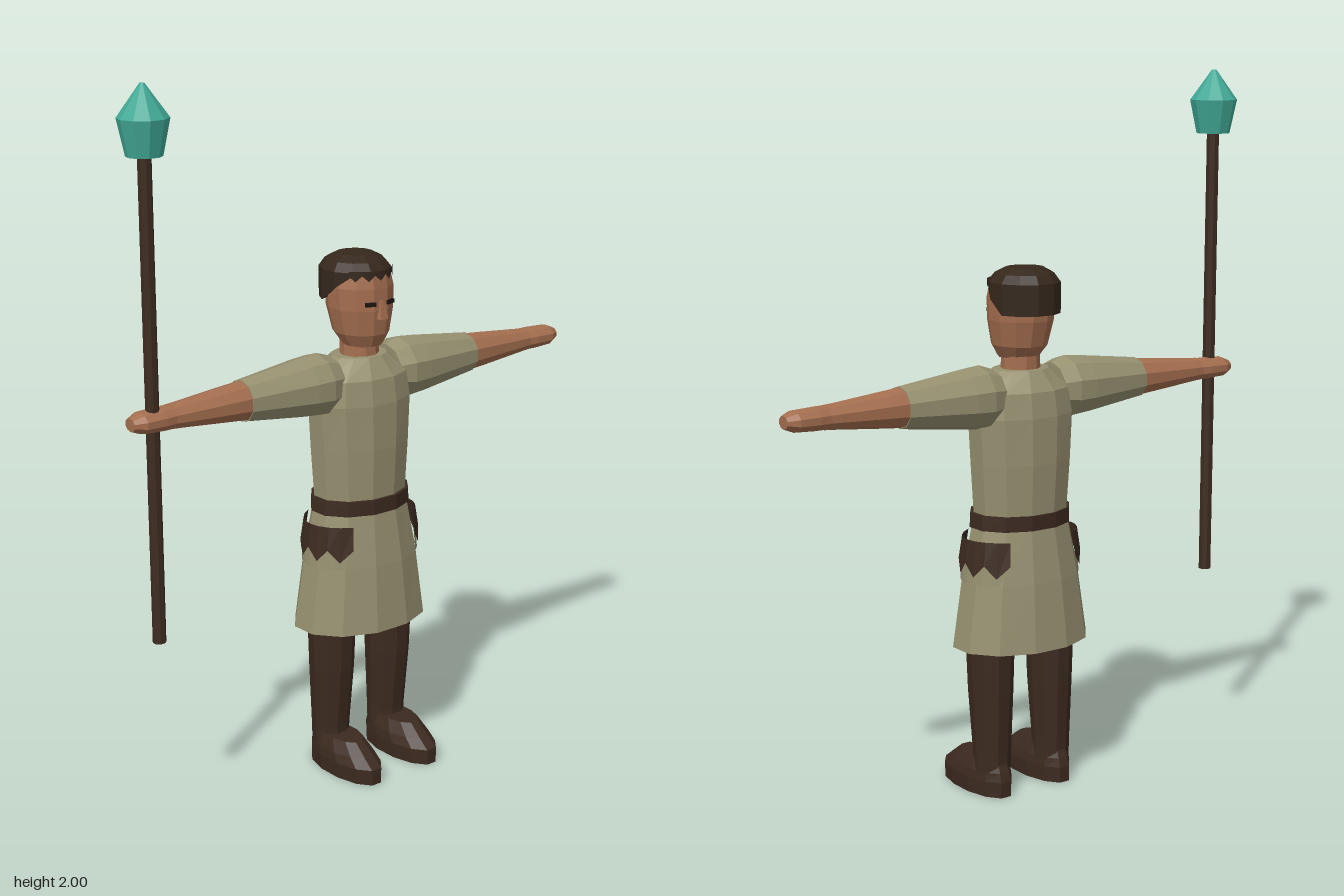
import * as THREE from 'three';

const mat = (name, color, side = THREE.FrontSide) => {
  const m = new THREE.MeshStandardMaterial({ color, side, flatShading: true });
  m.name = name;
  return m;
};

// Closed solid through elliptical cross-sections; rows go upward: [y, rx, rz, cz = 0, cx = 0]
function loft(rows, sides, rule) {
  const pos = [], index = [], k = 1 / Math.cos(Math.PI / sides);
  rows.forEach(([y, rx, rz, cz = 0, cx = 0], i) => {
    for (let j = 0; j < sides; j++) {
      const a = ((j + 0.5) / sides) * Math.PI * 2;
      const p = new THREE.Vector3(cx + Math.sin(a) * rx * k, y, cz + Math.cos(a) * rz * k);
      if (rule) rule(p, i);
      pos.push(p.x, p.y, p.z);
    }
  });
  const id = (i, j) => i * sides + (j % sides);
  const last = rows.length - 1, c = rows.length * sides;
  for (const r of [rows[0], rows[last]]) pos.push(r[4] || 0, r[0], r[3] || 0);
  for (let j = 0; j < sides; j++) {
    for (let i = 0; i < last; i++) {
      index.push(id(i, j), id(i, j + 1), id(i + 1, j + 1), id(i, j), id(i + 1, j + 1), id(i + 1, j));
    }
    index.push(c, id(0, j + 1), id(0, j), c + 1, id(last, j), id(last, j + 1));
  }
  const g = new THREE.BufferGeometry();
  g.setAttribute('position', new THREE.Float32BufferAttribute(pos, 3));
  g.setIndex(index);
  const flat = g.toNonIndexed();
  flat.computeVertexNormals();
  return flat;
}

// Curved band with a toothed lower edge, centred on angle mid (0 = front)
function toothedBand({ rx, rz, flare = 0, top, bottom, tooth, mid, half, teeth, cz }) {
  const pos = [], index = [], n = teeth * 2;
  for (let i = 0; i <= n; i++) {
    const a = mid - half + (2 * half * i) / n, s = Math.sin(a), c = Math.cos(a);
    const low = bottom + (i % 2 ? 0 : tooth);
    pos.push(s * rx, top, cz + c * rz, s * (rx + flare), low, cz + c * (rz + flare));
    if (i < n) index.push(2 * i + 1, 2 * i + 3, 2 * i + 2, 2 * i + 1, 2 * i + 2, 2 * i);
  }
  const g = new THREE.BufferGeometry();
  g.setAttribute('position', new THREE.Float32BufferAttribute(pos, 3));
  g.setIndex(index);
  g.computeVertexNormals();
  return g;
}

export function createModel() {
  const model = new THREE.Group();
  model.name = 'staffBearer';
  const cloth = mat('tunic cloth', 0x969070);
  const skin = mat('skin', 0xa46e4f);
  const leather = mat('dark leather', 0x3c2a20, THREE.DoubleSide);
  const hairMat = mat('hair', 0x35271c, THREE.DoubleSide);
  const wood = mat('staff wood', 0x3e2c21);
  const crystal = mat('crystal', 0x42aa97);
  const eyeMat = mat('eye', 0x1c1512);

  const add = (name, geometry, material, parent = model) => {
    const m = new THREE.Mesh(geometry, material);
    m.name = name;
    parent.add(m);
    return m;
  };

  // Tunic: flared skirt, belt and upper body
  add('skirt', loft([[0.43, 0.203, 0.147, -0.024], [0.62, 0.175, 0.13, -0.023], [0.79, 0.14, 0.107, -0.022]], 12), cloth);
  add('belt', loft([[0.768, 0.15, 0.113, -0.022], [0.81, 0.148, 0.113, -0.022]], 12), leather);
  add('torso', loft([
    [0.79, 0.138, 0.105, -0.024], [0.95, 0.148, 0.113, -0.025], [1.08, 0.156, 0.113, -0.025],
    [1.15, 0.147, 0.103, -0.025], [1.205, 0.08, 0.068, -0.025],
  ], 12), cloth);

  // Head, neck and face
  add('neck', loft([[1.17, 0.054, 0.052, -0.023], [1.26, 0.05, 0.05, -0.025]], 10), skin);
  add('head', loft([
    [1.235, 0.052, 0.058, -0.012], [1.27, 0.073, 0.08, -0.018], [1.34, 0.087, 0.093, -0.023],
    [1.40, 0.09, 0.094, -0.026], [1.445, 0.078, 0.086, -0.024],
  ], 12), skin);
  const nose = new THREE.CylinderGeometry(0.006, 0.02, 0.05, 4, 1);
  nose.rotateY(Math.PI / 4);
  nose.translate(0, 1.343, 0.071);
  add('nose', nose, skin);
  for (const s of [-1, 1]) {
    const eye = add('eye', new THREE.BoxGeometry(0.03, 0.011, 0.008), eyeMat);
    eye.position.set(s * 0.034, 1.36, 0.067);
    eye.rotation.y = s * 0.28;
  }

  // Hair: rim is high over the forehead and low at the nape
  add('hair', loft([
    [1.4, 0.095, 0.1, -0.041], [1.445, 0.095, 0.1, -0.041], [1.468, 0.078, 0.082, -0.043], [1.484, 0.05, 0.05, -0.043],
  ], 12, (p, row) => {
    if (row === 0) p.y = p.z > 0.01 ? 1.437 : p.z > -0.04 ? 1.4 : 1.36;
  }), hairMat);
  add('fringe', toothedBand({
    rx: 0.095, rz: 0.107, top: 1.45, bottom: 1.422, tooth: 0.016, mid: 0, half: 0.95, teeth: 5, cz: -0.038,
  }), hairMat);

  for (const s of [-1, 1]) {
    const side = s > 0 ? 'left' : 'right';

    // Arm: built upward, then swung out to the side
    const arm = new THREE.Group();
    arm.name = side + 'Arm';
    arm.position.set(0, 1.137, -0.03);
    arm.rotation.z = -s * Math.PI / 2;
    model.add(arm);
    add('sleeve', loft([[0.1, 0.07, 0.07], [0.145, 0.084, 0.084], [0.2, 0.079, 0.082], [0.4, 0.055, 0.056]], 10), cloth, arm);
    add('forearm', loft([[0.39, 0.053, 0.054], [0.45, 0.048, 0.051], [0.6, 0.034, 0.04], [0.63, 0.032, 0.037]], 10), skin, arm);
    add('hand', loft([[0.62, 0.031, 0.036], [0.66, 0.031, 0.04], [0.72, 0.028, 0.039], [0.75, 0.017, 0.022]], 10), skin, arm);

    // Leg and boot
    const leg = new THREE.Group();
    leg.name = side + 'Leg';
    leg.position.x = s * 0.103;
    model.add(leg);
    add('trouser', loft([[0.06, 0.05, 0.05, -0.03], [0.12, 0.051, 0.052, -0.03], [0.3, 0.058, 0.066, -0.024], [0.5, 0.064, 0.073, -0.022]], 10), leather, leg);
    add('boot', loft([
      [0, 0.06, 0.138, 0.04], [0.045, 0.062, 0.138, 0.04], [0.07, 0.058, 0.118, 0.027], [0.103, 0.045, 0.088, 0.013],
    ], 12), leather, leg);

    // Hip pouch with a ragged flap
    const pouch = { rx: 0.172, rz: 0.122, top: 0.735, mid: s * Math.PI / 2, cz: -0.022 };
    add(side + 'Pouch', toothedBand({ ...pouch, flare: 0.01, bottom: 0.62, tooth: 0, half: 0.8, teeth: 4 }), leather).material =
      cloth;
    add(side + 'PouchFlap', toothedBand({
      ...pouch, rx: 0.176, rz: 0.126, top: 0.742, flare: 0.01, bottom: 0.642, tooth: 0.035, half: 0.93, teeth: 4,
    }), leather);
  }

  // Staff with a faceted crystal head
  const staff = new THREE.Group();
  staff.name = 'staff';
  staff.position.set(-0.685, 0, -0.025);
  model.add(staff);
  add('shaft', loft([[0.525, 0.017, 0.017], [1.83, 0.017, 0.017]], 8), wood, staff);
  add('crystalHead', loft([[1.82, 0.045, 0.045], [1.915, 0.064, 0.064], [2, 0.006, 0.006]], 10), crystal, staff);

  return model;
}
